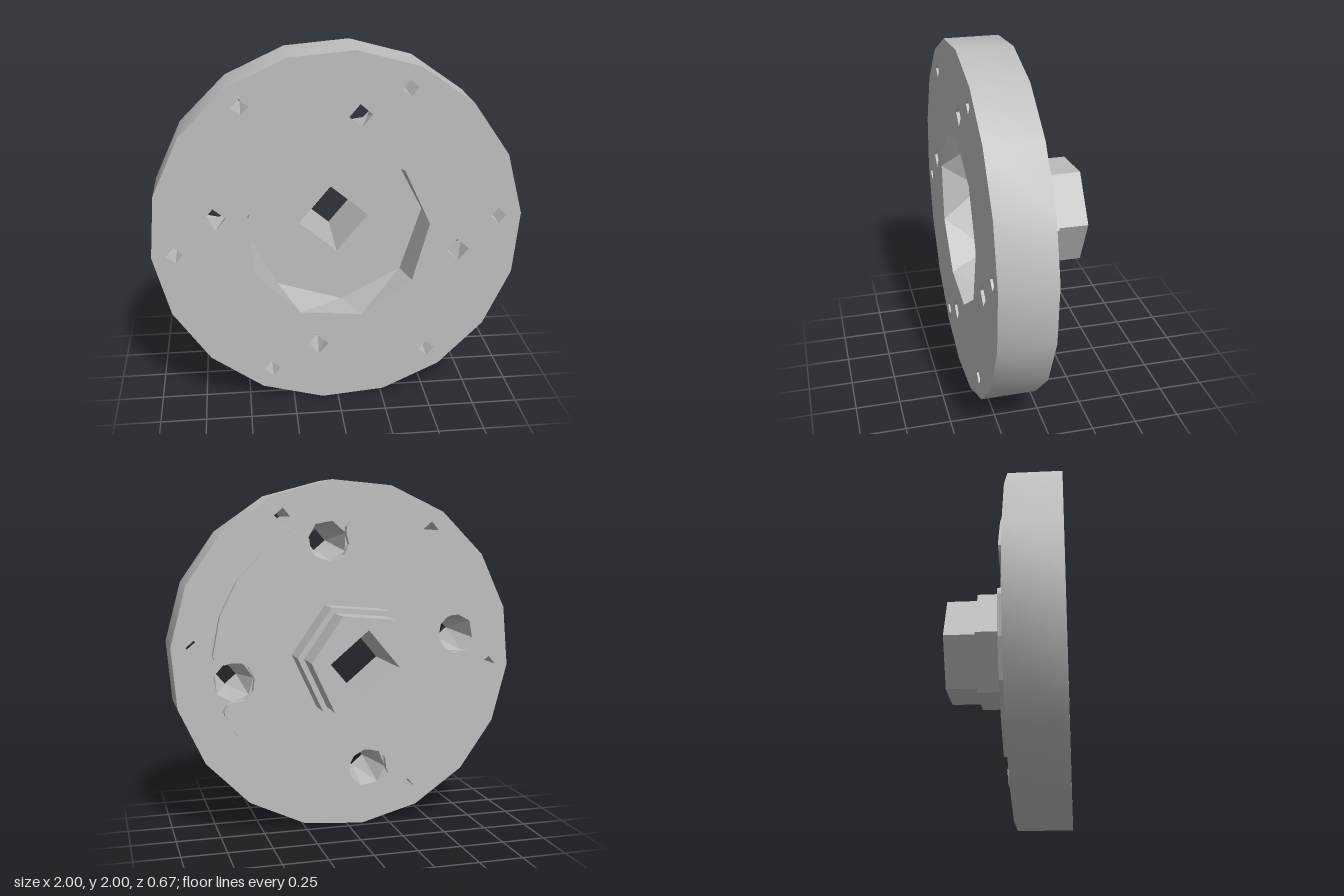
import * as THREE from 'three';

const D = Math.PI / 180;
const TILT = 5; // whole part is turned slightly about its axis
const FRONT = 0.337, FLOOR = 0.1, BACK = 0.033, PLATE = -0.004, STEP = -0.162, END = -0.337;

// regular polygon, counter-clockwise seen from the front
function ring(n, r, start = TILT, cx = 0, cy = 0) {
  return Array.from({ length: n }, (_, i) => {
    const a = (start + (i * 360) / n) * D;
    return new THREE.Vector2(cx + r * Math.cos(a), cy + r * Math.sin(a));
  });
}

// wall joining two rings that may have different side counts
function loft(a, za, b, zb, { inward = false, smooth = false } = {}) {
  const pos = [], idx = [], n = a.length, m = b.length;
  a.forEach(p => pos.push(p.x, p.y, za));
  b.forEach(p => pos.push(p.x, p.y, zb));
  let i = 0, j = 0;
  while (i < n || j < m) {
    const A = i % n, B = n + (j % m);
    let tri;
    if (j >= m || (i < n && (i + 1) / n <= (j + 1) / m)) {
      tri = [A, B, (i + 1) % n];
      i++;
    } else {
      tri = [B, n + ((j + 1) % m), A];
      j++;
    }
    idx.push(...(inward ? tri.reverse() : tri));
  }
  let g = new THREE.BufferGeometry();
  g.setAttribute('position', new THREE.Float32BufferAttribute(pos, 3));
  g.setIndex(idx);
  if (!smooth) g = g.toNonIndexed();
  g.computeVertexNormals();
  return g;
}

function shapeOf(outline, holes = []) {
  const s = new THREE.Shape(outline);
  holes.forEach(h => s.holes.push(new THREE.Path(h)));
  return s;
}

// flat face at depth z, facing the front or the back
function cap(outline, holes, z, facesBack = false) {
  const g = new THREE.ShapeGeometry(shapeOf(outline, holes));
  if (facesBack) {
    g.index.array.reverse();
    g.computeVertexNormals();
  }
  return g.translate(0, 0, z);
}

function slab(outline, holes, z0, z1) {
  return new THREE.ExtrudeGeometry(shapeOf(outline, holes), { depth: z1 - z0, bevelEnabled: false })
    .translate(0, 0, z0);
}

// rear plate outline: four lobes separated by rounded notches
function plateOutline() {
  const half = [[0.755, 0.145], [0.73, 0.117], [0.7, 0.108], [0.63, 0.112], [0.577, 0.072]];
  const notch = [
    ...half.map(([u, v]) => [u, -v]), [0.553, 0],
    ...half.slice().reverse(),
  ];
  const pts = [];
  for (let k = 0; k < 4; k++) {
    const a = (80 + k * 90) * D, c = Math.cos(a), s = Math.sin(a);
    notch.forEach(([u, v]) => pts.push(new THREE.Vector2(u * c - v * s, u * s + v * c)));
    for (let t = 13; t <= 77; t += 16) {
      const b = a + t * D;
      pts.push(new THREE.Vector2(0.775 * Math.cos(b), 0.775 * Math.sin(b)));
    }
  }
  return pts;
}

export function createModel() {
  const steel = new THREE.MeshStandardMaterial({ color: 0xbebebe });
  steel.name = 'greySteel';
  const root = new THREE.Group();
  root.name = 'flangedHub';
  root.position.y = 1;
  const model = new THREE.Group();
  model.name = 'flangeAssembly';
  model.add(root);
  const add = (name, geo) => {
    const m = new THREE.Mesh(geo, steel);
    m.name = name;
    root.add(m);
  };

  const rim = ring(18, 1.0037);
  const mouth = ring(9, 0.5);
  const floor = ring(8, 0.5);
  const bore = ring(4, 0.195);

  // small through holes near the rim
  const smallHoles = [];
  for (let k = 0; k < 6; k++) {
    const a = (TILT + k * 60) * D;
    smallHoles.push(ring(4, 0.045, TILT, 0.88 * Math.cos(a), 0.88 * Math.sin(a)));
  }
  // bolt holes that widen towards the back
  const boltFront = [], boltBack = [];
  for (let k = 0; k < 4; k++) {
    const deg = 80 + k * 90, x = 0.67 * Math.cos(deg * D), y = 0.67 * Math.sin(deg * D);
    boltFront.push(ring(4, 0.062, deg + 195, x, y));
    boltBack.push(ring(7, 0.115, deg + 180, x, y));
  }

  // main disc
  add('discRim', loft(rim, FRONT, rim, BACK, { smooth: true }));
  add('discFrontFace', cap(rim, [mouth, ...smallHoles, ...boltFront], FRONT));
  add('discBackFace', cap(rim, [bore, ...smallHoles, ...boltBack], BACK, true));
  smallHoles.forEach(h => add('smallHoleWall', loft(h, FRONT, h, BACK, { inward: true })));
  boltFront.forEach((h, k) => add('boltHoleWall', loft(h, FRONT, boltBack[k], BACK, { inward: true })));

  // front pocket
  add('pocketWall', loft(mouth, FRONT, floor, FLOOR, { inward: true }));
  add('pocketFloor', cap(floor, [bore], FLOOR));
  add('boreWall', loft(bore, FLOOR, bore, BACK, { inward: true }));

  // notched rear plate and stepped hexagonal hub
  add('rearPlate', slab(plateOutline(), [bore], PLATE, BACK));
  add('hubBase', slab(ring(6, 0.335), [bore], STEP, PLATE));
  add('hubTip', slab(ring(6, 0.3), [bore], END, STEP));

  return model;
}
